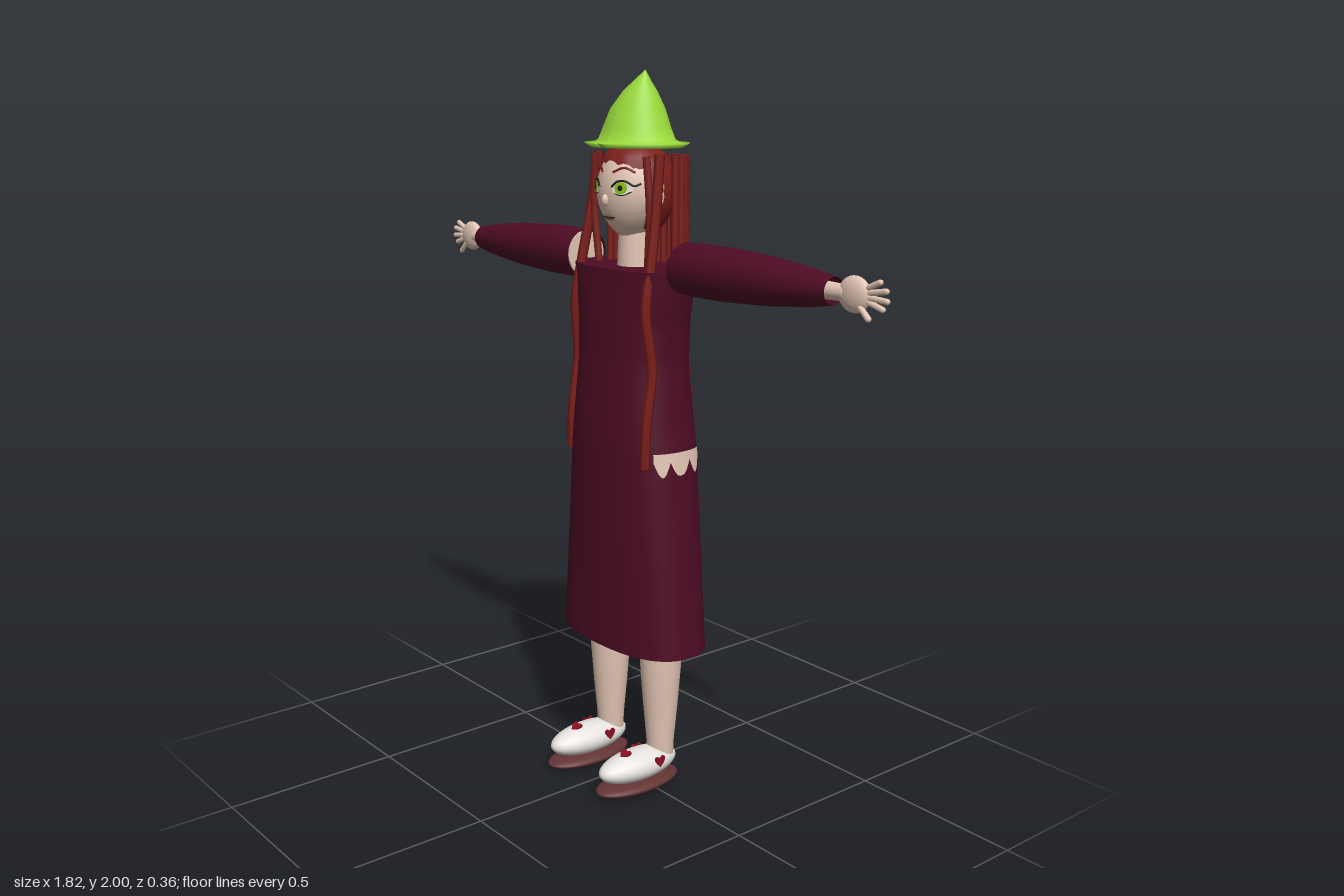
import * as THREE from 'three';
import { ParametricGeometry } from 'three/addons/geometries/ParametricGeometry.js';

const mat = (name, color, side = THREE.FrontSide) => {
  const m = new THREE.MeshStandardMaterial({ color, side });
  m.name = name;
  return m;
};
const V = (x, y, z) => new THREE.Vector3(x, y, z);

export function createModel() {
  const D = THREE.DoubleSide;
  const skin = mat('skin', 0xe3c6b4, D), dressRed = mat('wine cloth', 0x4e0b24, D);
  const hairRed = mat('red hair', 0x7d1f1b, D), lime = mat('lime felt', 0x9cdc3c, D);
  const white = mat('white', 0xebe7e4, D), brown = mat('sole brown', 0x633434);
  const heartRed = mat('heart red', 0x8c0f20, D), green = mat('eye green', 0x86c21c, D);
  const black = mat('black', 0x1c1210, D), lipPink = mat('lip', 0xb07468, D);

  const model = new THREE.Group();
  const add = (name, geo, m, x = 0, y = 0, z = 0) => {
    const mesh = new THREE.Mesh(geo, m);
    mesh.name = name;
    mesh.position.set(x, y, z);
    model.add(mesh);
    return mesh;
  };
  const ball = (rx, ry, rz) => new THREE.SphereGeometry(1, 28, 20).scale(rx, ry, rz);
  const tube = (name, pts, r, m, n = 16) =>
    add(name, new THREE.TubeGeometry(new THREE.CatmullRomCurve3(pts), n, r, 6), m);

  // Dress: rows of y, half width, front z, back z
  const rows = [[0.42, 0.25, 0.095, -0.175], [1.0, 0.197, 0.095, -0.172], [1.08, 0.186, 0.092, -0.166],
    [1.22, 0.174, 0.08, -0.152], [1.35, 0.18, 0.075, -0.15], [1.485, 0.205, 0.068, -0.15]];
  const rowAt = y => {
    let i = 0;
    while (i < rows.length - 2 && y > rows[i + 1][0]) i++;
    const t = (y - rows[i][0]) / (rows[i + 1][0] - rows[i][0]);
    return rows[i].map((a, k) => a + (rows[i + 1][k] - a) * t);
  };
  const bulge = v => Math.sign(v) * Math.abs(v) ** 0.8;
  const dressPoint = (a, y, off = 0, k = 1) => {
    const [, w, f, b] = rowAt(y);
    return V(bulge(Math.cos(a)) * (w + off) * k, y, (f + b) / 2 + bulge(Math.sin(a)) * ((f - b) / 2 + off) * k);
  };
  const sheet = (fn, nu, nv) => new ParametricGeometry((u, v, t) => t.copy(fn(u, v)), nu, nv);
  add('dress', sheet((u, v) => dressPoint(-u * Math.PI * 2, 0.42 + 1.065 * v), 40, 32), dressRed);
  add('dressShoulderTop', sheet((u, v) => dressPoint(-u * Math.PI * 2, 1.485, 0, 1 - 0.99 * v), 40, 2), dressRed);

  // Hip openings and loose hair lying on the dress sides
  for (const s of [1, -1]) {
    const around = a => (s > 0 ? a : Math.PI - a);
    const zigzag = u => 0.975 - 0.04 * Math.abs(Math.sin(u * Math.PI * 3));
    add('hipPatch', sheet((u, v) => dressPoint(around(-0.5 + u * 1.02), 1.0 + (zigzag(u) - 1.0) * v, 0.004), 24, 3), skin);
    [[-0.55, 1.13, 1.23], [-0.65, 1.1, 1.25], [-0.76, 1.12, 1.21], [-0.62, 0.8, 0.87]].forEach(([a, y0, y1]) =>
      add('looseHair', sheet((u, v) => dressPoint(around(a + (u - 0.5) * 0.08 * Math.sin(Math.PI * (0.1 + 0.8 * v))),
        y0 + (y1 - y0) * v, 0.004), 2, 8), hairRed));
  }

  // Head with narrowing jaw
  const HY = 1.685, HZ = -0.04, RX = 0.105, RY = 0.13, RZ = 0.1;
  const jaw = dy => 1 - 0.32 * Math.max(0, -dy / RY) ** 2;
  const headGeo = ball(RX, RY, RZ), hp = headGeo.attributes.position;
  for (let i = 0; i < hp.count; i++) hp.setX(i, hp.getX(i) * jaw(hp.getY(i)));
  headGeo.computeVertexNormals();
  add('head', headGeo, skin, 0, HY, HZ);
  add('neck', new THREE.CylinderGeometry(0.045, 0.052, 0.16, 20), skin, 0, 1.54, -0.045);
  add('nose', ball(0.009, 0.016, 0.012), skin, 0, 1.665, 0.058);

  // Face details follow the head's surface
  const onFace = (x, y, off = 0.003) => {
    const dy = y - HY;
    return V(x, y, HZ + off + RZ * Math.sqrt(Math.max(0, 1 - (dy / RY) ** 2 - (x / RX / jaw(dy)) ** 2)));
  };
  const spot = (name, x, y, rx, ry, m, off) => {
    const g = new THREE.CircleGeometry(1, 20), p = g.attributes.position;
    for (let i = 0; i < p.count; i++) {
      const q = onFace(x + p.getX(i) * rx, y + p.getY(i) * ry, off);
      p.setXYZ(i, q.x, q.y, q.z);
    }
    g.computeVertexNormals();
    add(name, g, m);
  };
  const faceLine = (name, pts, r, m) => tube(name, pts.map(([x, y]) => onFace(x, y)), r, m);
  for (const s of [1, -1]) {
    spot('eyeWhite', s * 0.053, 1.697, 0.026, 0.017, white, 0.003);
    spot('iris', s * 0.052, 1.698, 0.016, 0.016, green, 0.0045);
    spot('pupil', s * 0.052, 1.698, 0.006, 0.007, black, 0.006);
    faceLine('upperLash', [[s * 0.026, 1.7], [s * 0.04, 1.714], [s * 0.06, 1.716], [s * 0.08, 1.704], [s * 0.09, 1.71]], 0.003, black);
    faceLine('lowerLash', [[s * 0.036, 1.683], [s * 0.055, 1.679], [s * 0.076, 1.689]], 0.0014, black);
    faceLine('eyebrow', [[s * 0.022, 1.738], [s * 0.05, 1.75], [s * 0.076, 1.738]], 0.003, hairRed);
    add('ear', ball(0.012, 0.028, 0.02), skin, s * 0.109, 1.675, -0.03);
    add('earring', ball(0.007, 0.012, 0.009), green, s * 0.118, 1.7, -0.035);
  }
  spot('lips', 0, 1.617, 0.019, 0.007, lipPink, 0.003);
  faceLine('mouthLine', [[-0.022, 1.62], [0, 1.617], [0.022, 1.62]], 0.0018, black);

  // Hair cap, with the fringe dropping towards the temples
  const cap = new THREE.SphereGeometry(1, 36, 10, 0, Math.PI * 2, 0, Math.PI * 0.3).scale(0.115, 0.132, 0.11);
  const cp = cap.attributes.position;
  for (let i = cp.count - 37; i < cp.count; i++) {
    cp.setY(i, cp.getY(i) - 0.025 * (Math.abs(cp.getX(i)) / 0.09) ** 2 - (i % 3 ? 0 : 0.008));
  }
  cap.computeVertexNormals();
  add('fringe', cap, hairRed, 0, 1.69, -0.042);
  add('backOfHair', new THREE.SphereGeometry(1, 30, 18, Math.PI * 0.86, Math.PI * 1.28, 0, Math.PI * 0.78)
    .scale(0.114, 0.132, 0.105), hairRed, 0, 1.69, -0.045);

  // Straight curtain of locks around the back
  const locks = 27;
  for (let i = 0; i < locks; i++) {
    const a = Math.PI * (i / (locks - 1));
    const x = 0.138 * bulge(Math.cos(a)), z = -0.065 - 0.078 * Math.abs(Math.sin(a)) ** 0.6;
    add('hairLock', new THREE.CylinderGeometry(0.0095, 0.0095, 0.31, 8), hairRed, x, 1.625, z);
  }
  // Long strands hanging over the front of the dress
  for (const s of [1, -1]) {
    const a = y => (s > 0 ? y : Math.PI - y);
    tube('longStrand', [V(s * 0.128, 1.785, -0.02), V(s * 0.138, 1.64, 0.0), V(s * 0.148, 1.5, 0.025),
      dressPoint(a(0.72), 1.38, 0.006), dressPoint(a(0.5), 1.22, 0.006),
      dressPoint(a(0.62), 1.08, 0.006), dressPoint(a(0.7), 0.96, 0.0)], 0.014, hairRed, 40);
    tube('sideLock', [V(s * 0.11, 1.78, 0.01), V(s * 0.118, 1.64, 0.005), V(s * 0.105, 1.49, 0.0)], 0.011, hairRed);
  }

  // Pointed hat, tip leaning to one side
  const hat = new THREE.LatheGeometry([[0.001, 1.808], [0.1, 1.8], [0.135, 1.8], [0.155, 1.812], [0.132, 1.81], [0.113, 1.82],
    [0.1, 1.85], [0.08, 1.9], [0.05, 1.945], [0.025, 1.972], [0.0, 2.0]].map(p => new THREE.Vector2(...p)), 36);
  const tp = hat.attributes.position;
  for (let i = 0; i < tp.count; i++) {
    const t = Math.max(0, (tp.getY(i) - 1.82) / 0.18);
    tp.setXYZ(i, tp.getX(i) + 0.036 * t ** 2.6, tp.getY(i), tp.getZ(i) * 0.86 - 0.047);
  }
  hat.computeVertexNormals();
  add('hat', hat, lime);

  // Heart outline about its own centre
  const heart = new THREE.Shape();
  heart.moveTo(0, -0.016);
  heart.bezierCurveTo(-0.03, 0.008, -0.014, 0.026, 0, 0.01);
  heart.bezierCurveTo(0.014, 0.026, 0.03, 0.008, 0, -0.016);
  const heartGeo = new THREE.ExtrudeGeometry(heart, { depth: 0.006, bevelEnabled: false, curveSegments: 6 });

  for (const s of [1, -1]) {
    // Sleeve, arm and hand
    const AY = 1.497, AZ = -0.04;
    const along = g => g.rotateZ(-s * Math.PI / 2);
    add('sleeve', along(new THREE.LatheGeometry([[0.067, 0.212], [0.07, 0.28], [0.069, 0.38], [0.061, 0.53],
      [0.046, 0.67], [0.034, 0.738]].map(p => new THREE.Vector2(...p)), 28)), dressRed, 0, AY, AZ);
    add('upperArm', along(new THREE.CylinderGeometry(0.035, 0.062, 0.3, 20)), skin, s * 0.365, AY, AZ);
    add('wrist', along(new THREE.CylinderGeometry(0.02, 0.026, 0.16, 16)), skin, s * 0.7, AY, AZ);
    add('palm', ball(0.048, 0.044, 0.02), skin, s * 0.803, AY, AZ);
    [[0.42, 0.062], [0.17, 0.075], [-0.06, 0.077], [-0.28, 0.068], [-0.75, 0.05]].forEach(([a, len], i) => {
      const r = 0.032 + len / 2;
      const finger = add(i < 4 ? 'finger' : 'thumb', new THREE.CapsuleGeometry(0.0075, len - 0.015, 4, 8), skin,
        s * (0.8 + Math.cos(a) * r), AY + Math.sin(a) * r, AZ + (i < 4 ? 0 : 0.008));
      finger.rotation.z = s * (a - Math.PI / 2);
    });

    // Leg and shoe
    const X = s * 0.115;
    add('leg', new THREE.LatheGeometry([[0.038, 0.07], [0.04, 0.13], [0.05, 0.24], [0.059, 0.36], [0.06, 0.45],
      [0.07, 0.9]].map(p => new THREE.Vector2(...p)), 24), skin, X, 0, -0.045);
    add('sole', ball(0.066, 0.021, 0.141), brown, X, 0.021, 0.04);
    add('shoe', ball(0.058, 0.044, 0.134), white, X, 0.074, 0.038);
    const front = add('toeHeart', heartGeo, heartRed, X, 0.114, 0.085);
    front.rotation.x = -1.1;
    for (const k of [1, -1]) {
      const h = add('sideHeart', heartGeo, heartRed, X + k * 0.051, 0.088, 0.0);
      h.rotation.set(0, k * Math.PI / 2, 0);
    }
  }
  return model;
}
